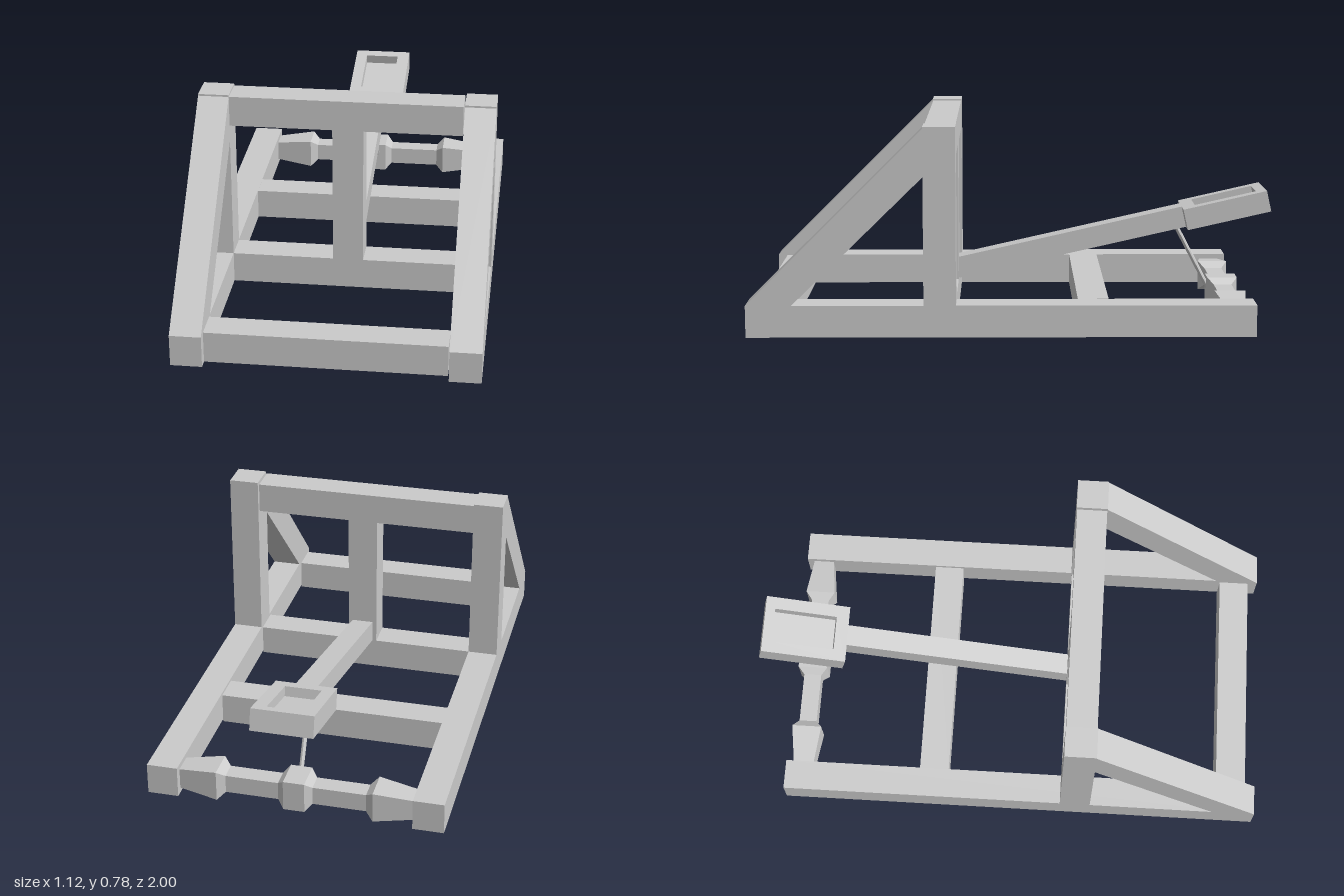
import * as THREE from 'three';

const material = new THREE.MeshStandardMaterial({ color: 0xcccccc, flatShading: true });

function add(parent, name, geometry) {
  const mesh = new THREE.Mesh(geometry, material);
  mesh.name = name;
  parent.add(mesh);
  return mesh;
}

// Square beam given by its limits on each axis
function beam(parent, name, [x0, x1], [y0, y1], [z0, z1]) {
  const g = new THREE.BoxGeometry(x1 - x0, y1 - y0, z1 - z0);
  g.translate((x0 + x1) / 2, (y0 + y1) / 2, (z0 + z1) / 2);
  return add(parent, name, g);
}

function rectangle(PathType, x0, x1, y0, y1) {
  return new PathType([[x0, y0], [x1, y0], [x1, y1], [x0, y1]].map(p => new THREE.Vector2(...p)));
}

export function createModel() {
  const model = new THREE.Group();
  model.name = 'catapult';

  // Side frames: ground rail, upright and diagonal brace
  const braceShape = new THREE.Shape(
    [[1, 0.12], [0.342, 0.775], [0.342, 0.598], [0.83, 0.12]].map(p => new THREE.Vector2(...p)));
  for (const [side, x0, x1] of [['left', 0.44, 0.556], ['right', -0.559, -0.443]]) {
    const frame = new THREE.Group();
    frame.name = side + 'Frame';
    beam(frame, 'rail', [x0, x1], [0, 0.12], [-0.89, 1]);
    beam(frame, 'upright', [x0, x1], [0.12, 0.782], [0.222, 0.342]);
    const brace = new THREE.ExtrudeGeometry(braceShape, { depth: x1 - x0, bevelEnabled: false });
    brace.rotateY(-Math.PI / 2).translate(x1, 0, 0);
    add(frame, 'diagonalBrace', brace);
    model.add(frame);
  }

  // Crossbeams, centre post and top beam
  const span = [-0.443, 0.435];
  for (const [name, z0, z1] of [['frontCrossbeam', 0.845, 0.962],
    ['middleCrossbeam', 0.224, 0.34], ['rearCrossbeam', -0.348, -0.232]]) {
    beam(model, name, span, [0, 0.119], [z0, z1]);
  }
  beam(model, 'topBeam', span, [0.658, 0.775], [0.224, 0.34]);
  beam(model, 'centrePost', [-0.054, 0.063], [0.119, 0.658], [0.224, 0.34]);

  // Throwing arm, tilted up towards the back, with a hollow bucket
  const arm = new THREE.Group();
  arm.name = 'throwingArm';
  arm.position.set(0, 0.12, 0.222);
  arm.rotation.x = 0.224;
  beam(arm, 'armBeam', [-0.038, 0.046], [0, 0.083], [-0.92, 0]);
  beam(arm, 'bucketFloor', [-0.109, 0.123], [0, 0.045], [-1.253, -0.92]);
  const rimShape = rectangle(THREE.Shape, -0.109, 0.123, 0.92, 1.253);
  rimShape.holes.push(rectangle(THREE.Path, -0.063, 0.074, 0.97, 1.215));
  const rim = new THREE.ExtrudeGeometry(rimShape, { depth: 0.038, bevelEnabled: false });
  rim.rotateX(-Math.PI / 2).translate(0, 0.045, 0);
  add(arm, 'bucketRim', rim);
  model.add(arm);

  // Winch: square spindle with flared ends and a middle drum, as [distance, half width]
  const half = [[0.04, 0.059], [0.065, 0.035], [0.265, 0.035], [0.294, 0.059], [0.443, 0.04]];
  const profile = [...half.map(([d, r]) => [-d, r]).reverse(), ...half]
    .map(([d, r]) => new THREE.Vector2(r * Math.SQRT2, d));
  const winch = new THREE.LatheGeometry(profile, 4, Math.PI / 4);
  winch.rotateZ(Math.PI / 2).translate(0, 0.06, -0.822);
  add(model, 'winch', winch);

  // Rope from the arm down to the winch drum
  const top = new THREE.Vector3(0.004, 0.325, -0.637);
  const bottom = new THREE.Vector3(0.004, 0.075, -0.768);
  const rope = add(model, 'rope', new THREE.CylinderGeometry(0.009, 0.009, top.distanceTo(bottom), 8));
  rope.position.lerpVectors(bottom, top, 0.5);
  rope.quaternion.setFromUnitVectors(new THREE.Vector3(0, 1, 0), top.clone().sub(bottom).normalize());

  return model;
}
